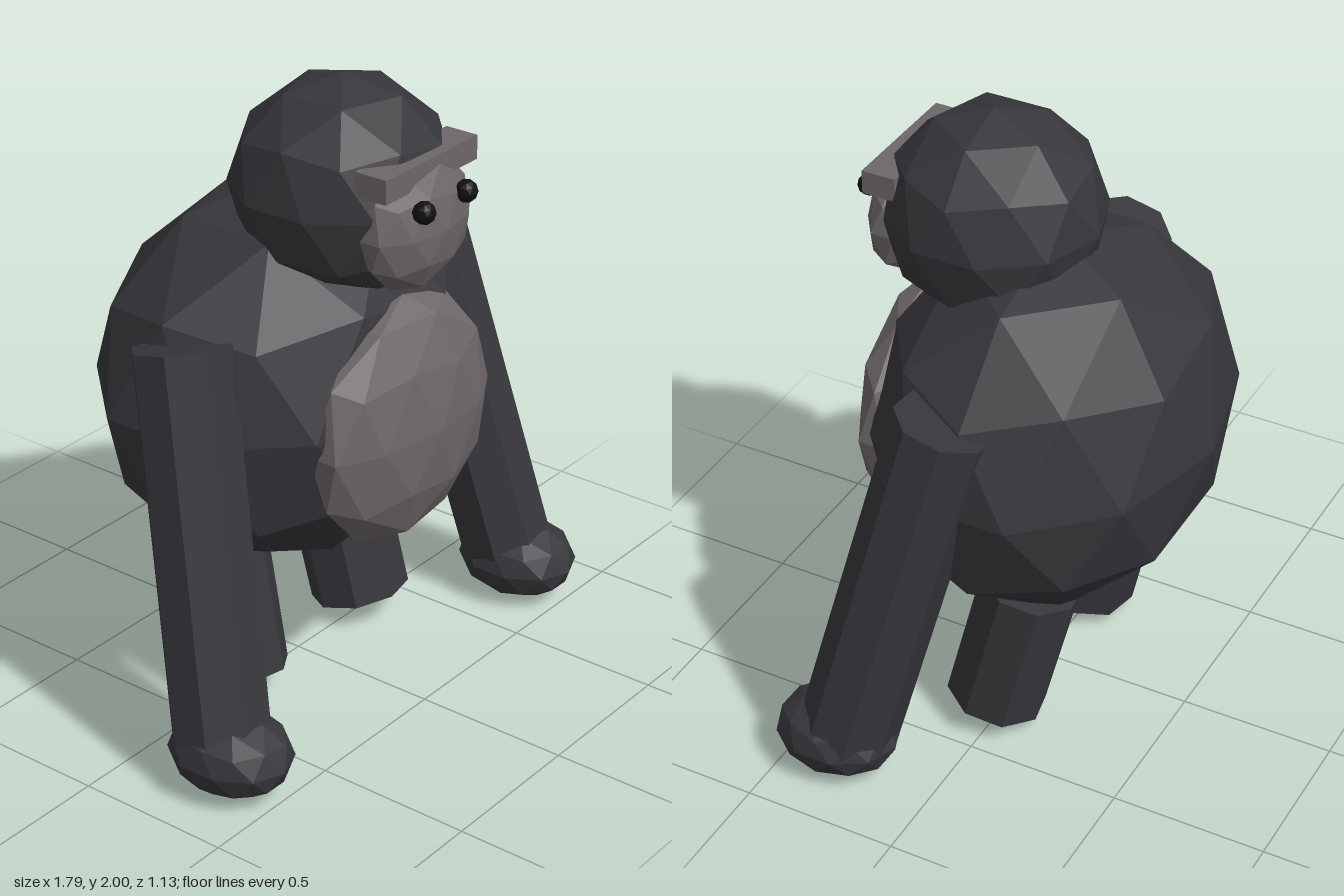
import * as THREE from 'three';

const material = (color) => new THREE.MeshStandardMaterial({ color, flatShading: true });

export function createModel() {
  const model = new THREE.Group();
  model.name = 'ape';
  const fur = material(0x37363b);
  const skin = material(0x6e676a);
  const eyeBlack = material(0x101012);

  // faceted ball with a corner at the top and one upper corner towards +x
  const ballGeometry = new THREE.IcosahedronGeometry(1, 1);
  ballGeometry.rotateZ(Math.atan(2 / (1 + Math.sqrt(5)))).rotateY(Math.PI);

  function add(name, geometry, mat) {
    const mesh = new THREE.Mesh(geometry, mat);
    mesh.name = name;
    model.add(mesh);
    return mesh;
  }

  function ball(name, mat, center, radii) {
    const geometry = ballGeometry.clone().scale(...radii).translate(...center);
    return add(name, geometry, mat);
  }

  // eight-sided limb between two points, turned about its own axis
  function limb(name, from, to, radius, turn) {
    const a = new THREE.Vector3(...from);
    const b = new THREE.Vector3(...to);
    const axis = b.clone().sub(a);
    const geometry = new THREE.CylinderGeometry(radius, radius, axis.length(), 8);
    geometry.rotateY(turn);
    const mesh = add(name, geometry, fur);
    mesh.position.copy(a).add(b).multiplyScalar(0.5);
    mesh.quaternion.setFromUnitVectors(new THREE.Vector3(0, 1, 0), axis.normalize());
    return mesh;
  }

  // torso and head
  ball('body', fur, [0, 1.02, -0.04], [0.68, 0.62, 0.525]);
  ball('chestPatch', skin, [0, 0.96, 0.39], [0.4, 0.4, 0.155]);
  ball('head', fur, [0, 1.66, 0.165], [0.34, 0.34, 0.34]);
  ball('face', skin, [0, 1.605, 0.43], [0.23, 0.21, 0.115]);

  // brow ridge
  add('brow', new THREE.BoxGeometry(0.44, 0.075, 0.11), skin).position.set(0, 1.778, 0.432);

  // paired parts
  for (const side of [1, -1]) {
    const label = side > 0 ? 'left' : 'right';
    ball(label + 'Eye', eyeBlack, [side * 0.102, 1.692, 0.535], [0.035, 0.035, 0.035]);
    limb(label + 'Arm', [side * 0.735, 0.14, 0.3], [side * 0.57, 1.3, 0.025], 0.155, Math.PI / 8);
    ball(label + 'Hand', fur, [side * 0.737, 0.135, 0.333], [0.168, 0.13, 0.202]);
    limb(label + 'Leg', [side * 0.31, 0.085, 0.01], [side * 0.285, 0.56, -0.103], 0.16, -side * 0.19);
  }

  return model;
}
